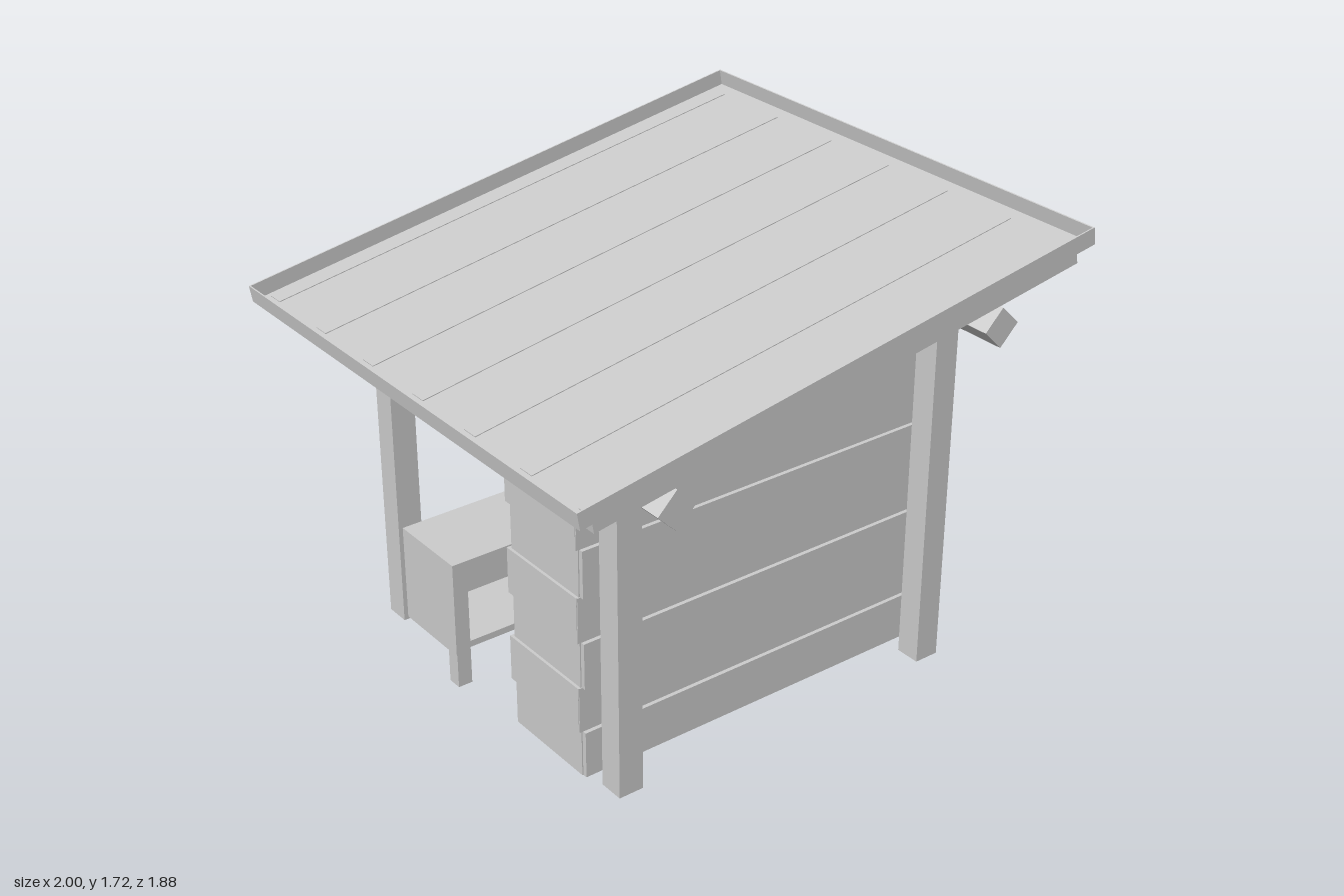
import * as THREE from 'three';

const material = new THREE.MeshStandardMaterial({ color: 0xcccccc, flatShading: true, side: THREE.DoubleSide });

// Box given by its minimum and maximum on each axis
function box(parent, name, x0, x1, y0, y1, z0, z1) {
  const mesh = new THREE.Mesh(new THREE.BoxGeometry(x1 - x0, y1 - y0, z1 - z0), material);
  mesh.position.set((x0 + x1) / 2, (y0 + y1) / 2, (z0 + z1) / 2);
  mesh.name = name;
  parent.add(mesh);
  return mesh;
}

// Flat outline in x,y extruded along z
function plate(parent, name, points, depth) {
  const shape = new THREE.Shape(points.map(([x, y]) => new THREE.Vector2(x, y)));
  const mesh = new THREE.Mesh(new THREE.ExtrudeGeometry(shape, { depth, bevelEnabled: false }), material);
  mesh.name = name;
  parent.add(mesh);
  return mesh;
}

function group(parent, name) {
  const g = new THREE.Group();
  g.name = name;
  parent.add(g);
  return g;
}

export function createModel() {
  const model = new THREE.Group();
  model.name = 'gardenShelter';
  const postX = 0.635;

  // Sloping roof: shallow tray with a thin rim, on seven rafters
  const roof = group(model, 'roof');
  roof.position.set(0.005, 1.498, 0);
  roof.rotation.z = 0.1665;
  const rx = 1.009, rz = 0.94, t = 0.005, rim = 0.06;
  box(roof, 'roofPanel', -rx, rx, 0, 0.004, -rz, rz);
  for (const s of [-1, 1]) {
    const e = s * (rx - t / 2), f = s * (rz - t / 2);
    box(roof, 'roofSideRim', e - t / 2, e + t / 2, 0, rim, -rz, rz);
    box(roof, 'roofEndRim', -rx, rx, 0, rim, f - t / 2, f + t / 2);
  }
  for (const z of [-0.885, -0.58, -0.285, 0.01, 0.3, 0.595, 0.885]) {
    box(roof, 'rafter', -0.953, 0.953, -0.053, 0.007, z - 0.03, z + 0.03);
  }

  // Purlins turned on edge, with posts, and braces at the rear
  for (const s of [-1, 1]) {
    const purlinY = s > 0 ? 1.47 : 1.26;
    const x = s * postX;
    const purlin = box(model, 'purlin', x - 0.049, x + 0.049, purlinY - 0.049, purlinY + 0.049, -0.915, 0.915);
    purlin.rotation.z = Math.PI / 4;

    const top = s > 0 ? 1.44 : 1.25;
    for (const z of [0.638, 0.21, -0.655]) {
      box(model, 'post', x - 0.046, x + 0.046, 0.12, top, z - 0.046, z + 0.046);
    }

    // Outline runs along -z, so the plate is turned a quarter about y
    const brace = plate(model, 'brace', [[0.61, 1.21], [0.61, 1.295], [0.465, 1.44], [0.375, 1.44]], 0.05);
    brace.rotation.y = Math.PI / 2;
    brace.position.set(x - 0.025, s > 0 ? 0 : -0.225, 0);
  }
  box(model, 'rearRail', -0.6, 0.6, 1.165, 1.235, -0.685, -0.635);

  // Front wall of staggered boards under a tapered top board
  const wall = group(model, 'frontWall');
  const rows = [0.13, 0.3, 0.467, 0.635, 0.8, 0.97, 1.075, 1.245];
  for (let i = 0; i < 7; i++) {
    const even = i % 2 === 0;
    box(wall, 'frontBoard', even ? -0.708 : -0.72, even ? 0.725 : 0.713, rows[i], rows[i + 1],
      even ? 0.51 : 0.497, even ? 0.542 : 0.528);
  }
  const topBoard = plate(wall, 'taperedTopBoard',
    [[-0.69, 1.245], [0.713, 1.245], [0.713, 1.41], [-0.69, 1.277]], 0.031);
  topBoard.position.z = 0.497;

  // Short side walls; the left one is higher
  const sideRows = [0.13, 0.3, 0.467, 0.633, 0.8, 0.97, 1.14, 1.243, 1.41];
  for (const s of [-1, 1]) {
    const side = group(model, s > 0 ? 'leftSideWall' : 'rightSideWall');
    const count = s > 0 ? 8 : 7;
    for (let i = 0; i < count; i++) {
      const out = i % 2 === 1;
      const a = s * 0.682, b = s * (out ? 0.722 : 0.712);
      box(side, 'sideBoard', Math.min(a, b), Math.max(a, b), sideRows[i], sideRows[i + 1],
        out ? 0.145 : 0.157, 0.525);
    }
  }

  // Bench: open-fronted chest on two front legs, fixed to the rear posts
  const bench = group(model, 'bench');
  const bx = 0.665, front = -0.29, back = -0.61;
  box(bench, 'benchSeat', -bx, bx, 0.465, 0.495, back, front);
  box(bench, 'benchBack', -bx, bx, 0.13, 0.465, back, back + 0.025);
  box(bench, 'benchFloor', -bx, bx, 0.13, 0.155, back, front - 0.02);
  box(bench, 'benchApron', -bx, bx, 0.4, 0.465, front - 0.03, front - 0.005);
  for (const s of [-1, 1]) {
    const e = s * (bx - 0.0125), l = s * postX;
    box(bench, 'benchSide', e - 0.0125, e + 0.0125, 0.13, 0.465, back, front);
    box(bench, 'benchLeg', l - 0.0275, l + 0.0275, 0, 0.465, front - 0.055, front);
  }
  return model;
}
